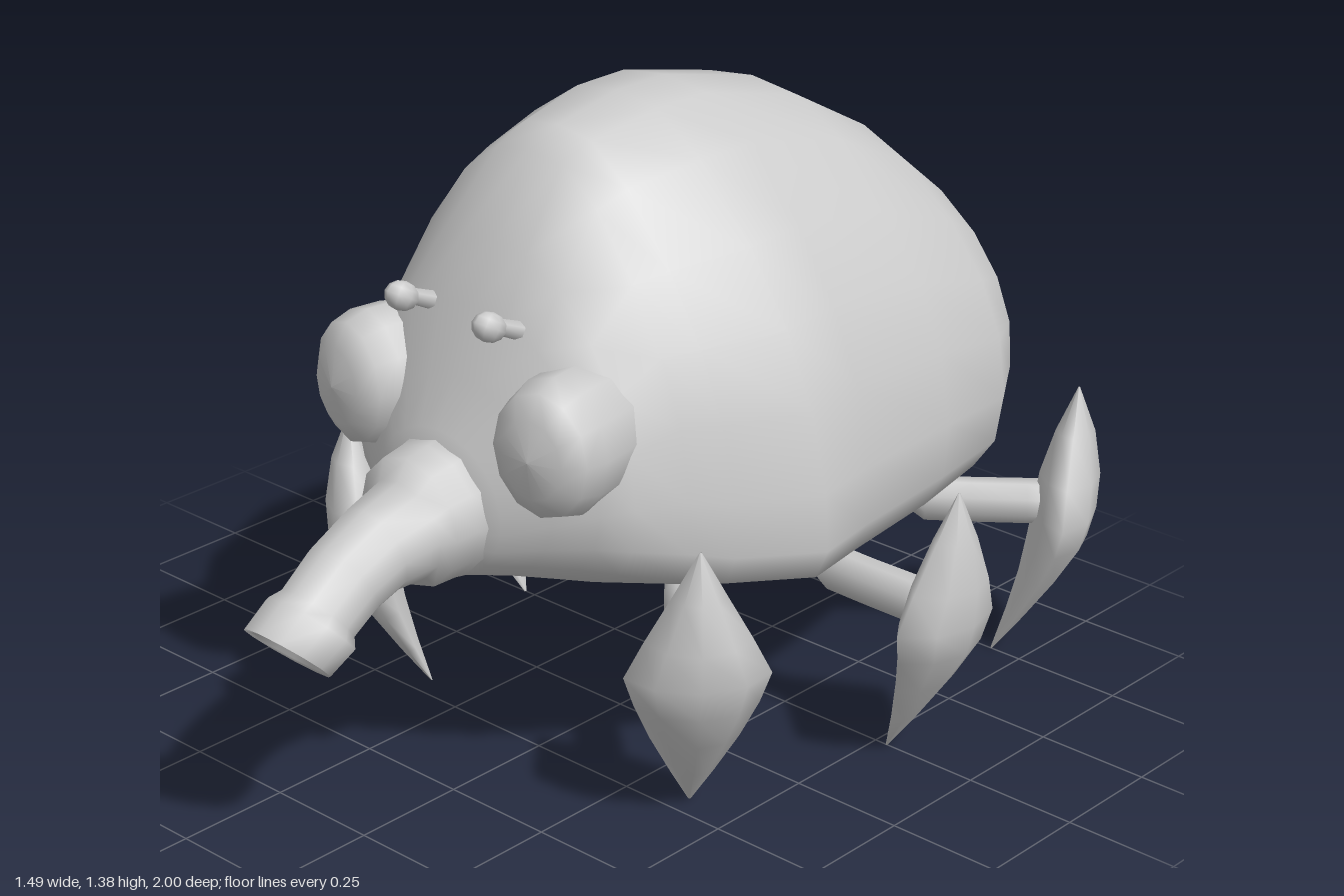
import * as THREE from 'three';

const material = new THREE.MeshStandardMaterial({ color: 0xcccccc, side: THREE.DoubleSide });

// Skin closed rings of [x, y, z] points; both ends are closed with a centre point
function loft(rings) {
  const n = rings[0].length, pos = [], idx = [];
  rings.forEach(r => r.forEach(p => pos.push(...p)));
  for (let i = 0; i < rings.length - 1; i++) {
    for (let j = 0; j < n; j++) {
      const a = i * n + j, b = i * n + (j + 1) % n;
      idx.push(a, b, b + n, a, b + n, a + n);
    }
  }
  [0, rings.length - 1].forEach((k, end) => {
    const c = [0, 1, 2].map(d => rings[k].reduce((s, p) => s + p[d], 0) / n);
    const ci = pos.length / 3;
    pos.push(...c);
    for (let j = 0; j < n; j++) {
      const a = k * n + j, b = k * n + (j + 1) % n;
      idx.push(ci, ...(end ? [a, b] : [b, a]));
    }
  });
  // Turn the faces outward using the sign of the enclosed volume
  const v = i => new THREE.Vector3().fromArray(pos, i * 3);
  let volume = 0;
  for (let i = 0; i < idx.length; i += 3) volume += v(idx[i]).dot(v(idx[i + 1]).cross(v(idx[i + 2])));
  if (volume < 0) idx.reverse();
  const g = new THREE.BufferGeometry();
  g.setAttribute('position', new THREE.Float32BufferAttribute(pos, 3));
  g.setIndex(idx);
  g.computeVertexNormals();
  return g;
}

function add(parent, name, geometry) {
  const m = new THREE.Mesh(geometry, material);
  m.name = name;
  parent.add(m);
  return m;
}

// Domed shell: broad flat underside, narrowing towards the crown, round at the rear
function bodyGeometry() {
  const half = [[0, 0], [0.45, 0], [0.8, 0.01], [0.95, 0.04], [1, 0.11], [0.985, 0.24], [0.92, 0.42],
    [0.8, 0.58], [0.63, 0.74], [0.4, 0.9], [0.19, 0.985], [0, 1]];
  const last = half.length - 1;
  // z, half width, bottom, top, roundness
  const sections = [
    [-1.0, 0.06, 0.6, 0.73, 1], [-0.97, 0.21, 0.53, 0.84, 1], [-0.9, 0.31, 0.465, 0.96, 0.9],
    [-0.78, 0.42, 0.425, 1.08, 0.75], [-0.62, 0.525, 0.42, 1.205, 0.5], [-0.4, 0.55, 0.43, 1.325, 0.3],
    [-0.13, 0.56, 0.45, 1.39, 0.1], [0.01, 0.568, 0.46, 1.39, 0], [0.18, 0.475, 0.48, 1.36, 0],
    [0.26, 0.43, 0.49, 1.33, 0.1], [0.36, 0.38, 0.495, 1.17, 0.4], [0.42, 0.345, 0.5, 1.05, 0.7],
    [0.47, 0.26, 0.505, 0.92, 0.9], [0.52, 0.17, 0.515, 0.82, 1], [0.545, 0.1, 0.54, 0.76, 1]];
  return loft(sections.map(([z, w, bottom, top, round]) => {
    const side = half.map(([x, h], i) => {
      const a = Math.PI * i / last;
      const px = THREE.MathUtils.lerp(x, Math.sin(a), round);
      const ph = THREE.MathUtils.lerp(h, 0.5 - 0.5 * Math.cos(a), round);
      return [w * px, bottom + (top - bottom) * ph, z];
    });
    const mirrored = side.slice(1, -1).reverse().map(([x, y, zz]) => [-x, y, zz]);
    return [...side, ...mirrored];
  }));
}

// Drooping trunk with a collar, a flared lip and a hollow mouth
function snoutGeometry() {
  // z, y, radius, downward tilt
  const stations = [
    [0.45, 0.66, 0.16, 0], [0.55, 0.655, 0.14, 0], [0.605, 0.65, 0.135, 0], [0.62, 0.64, 0.105, 0.1],
    [0.7, 0.625, 0.093, 0.25], [0.78, 0.59, 0.088, 0.5], [0.85, 0.54, 0.085, 0.7],
    [0.868, 0.525, 0.1, 0.76], [0.93, 0.487, 0.096, 0.8], [0.928, 0.489, 0.075, 0.8], [0.9, 0.515, 0.05, 0.8]];
  return loft(stations.map(([z, y, r, tilt]) => Array.from({ length: 12 }, (_, i) => {
    const a = i / 12 * Math.PI * 2, s = Math.sin(a) * r;
    return [Math.cos(a) * r, y + s * Math.cos(tilt), z + s * Math.sin(tilt)];
  })));
}

// Bulging eye: a blunt dome on a drum, facing local +z
function eyeGeometry() {
  const profile = [[0.115, -0.12], [0.124, -0.05], [0.124, 0.02], [0.11, 0.07], [0.07, 0.1], [0, 0.112]];
  return new THREE.LatheGeometry(profile.map(p => new THREE.Vector2(...p)), 12).rotateX(Math.PI / 2);
}

// Leaf-shaped claw, local +x pointing away from the body
function clawGeometry() {
  // height, inner x, outer x, half width
  const levels = [
    [0.01, -0.162, -0.158, 0.003], [0.1, -0.135, -0.09, 0.045], [0.2, -0.11, -0.02, 0.09],
    [0.29, -0.095, 0.035, 0.125], [0.36, -0.085, 0.052, 0.147], [0.44, -0.075, 0.056, 0.108],
    [0.54, -0.045, 0.04, 0.055], [0.64, -0.002, 0.002, 0.003]];
  return loft(levels.map(([y, inner, outer, w]) => {
    const mid = THREE.MathUtils.lerp(inner, outer, 0.4);
    return Array.from({ length: 8 }, (_, i) => {
      const a = i / 8 * Math.PI * 2, c = Math.cos(a);
      return [mid + Math.abs(c) * (c > 0 ? outer - mid : inner - mid), y, Math.sin(a) * w * (i % 2 ? 0.88 : 1)];
    });
  }));
}

// Limb running inward from the claw, then thinning to a point under the belly
function limbGeometry() {
  // x, y, half height, half width
  const stations = [
    [-0.02, 0.37, 0.048, 0.05], [-0.1, 0.37, 0.05, 0.045], [-0.22, 0.37, 0.05, 0.042],
    [-0.32, 0.372, 0.05, 0.042], [-0.36, 0.39, 0.038, 0.036], [-0.39, 0.425, 0.022, 0.026], [-0.46, 0.46, 0.014, 0.012]];
  return loft(stations.map(([x, y, h, w]) => Array.from({ length: 8 }, (_, i) => {
    const a = (i + 0.5) / 8 * Math.PI * 2;
    return [x, y + Math.sin(a) * h, Math.cos(a) * w];
  })));
}

export function createModel() {
  const model = new THREE.Group();
  model.name = 'beetle';
  add(model, 'body', bodyGeometry());
  add(model, 'snout', snoutGeometry());

  const claw = clawGeometry(), limb = limbGeometry(), eyeball = eyeGeometry();
  // name, claw tip x and z, outward direction x and z
  const legs = [
    ['front', 0.495, 0.305, 0.74, 0.67], ['middle', 0.69, -0.25, 1, 0], ['rear', 0.545, -0.855, 0.77, -0.64]];

  for (const [side, s] of [['left', 1], ['right', -1]]) {
    const eye = add(model, side + 'Eye', eyeball);
    eye.scale.y = 1.17;
    eye.position.set(0.255 * s, 0.84, 0.44);
    eye.rotation.y = 0.15 * s;

    // Short stalks with small knobs
    const stalk = add(model, side + 'FeelerStalk', new THREE.CylinderGeometry(0.015, 0.02, 0.1, 6));
    stalk.position.set(0.118 * s, 1.04, 0.44);
    stalk.rotation.x = 1.15;
    const knob = add(model, side + 'FeelerKnob', new THREE.SphereGeometry(1, 8, 6));
    knob.scale.set(0.028, 0.03, 0.042);
    knob.position.set(0.12 * s, 1.06, 0.495);
    knob.rotation.x = -0.5;

    // Three legs on each side
    for (const [name, x, z, dx, dz] of legs) {
      const leg = new THREE.Group();
      leg.name = side + name[0].toUpperCase() + name.slice(1) + 'Leg';
      leg.position.set(x * s, 0, z);
      leg.rotation.y = Math.atan2(-dz, dx * s);
      add(leg, 'claw', claw);
      add(leg, 'limb', limb);
      model.add(leg);
    }
  }
  return model;
}
